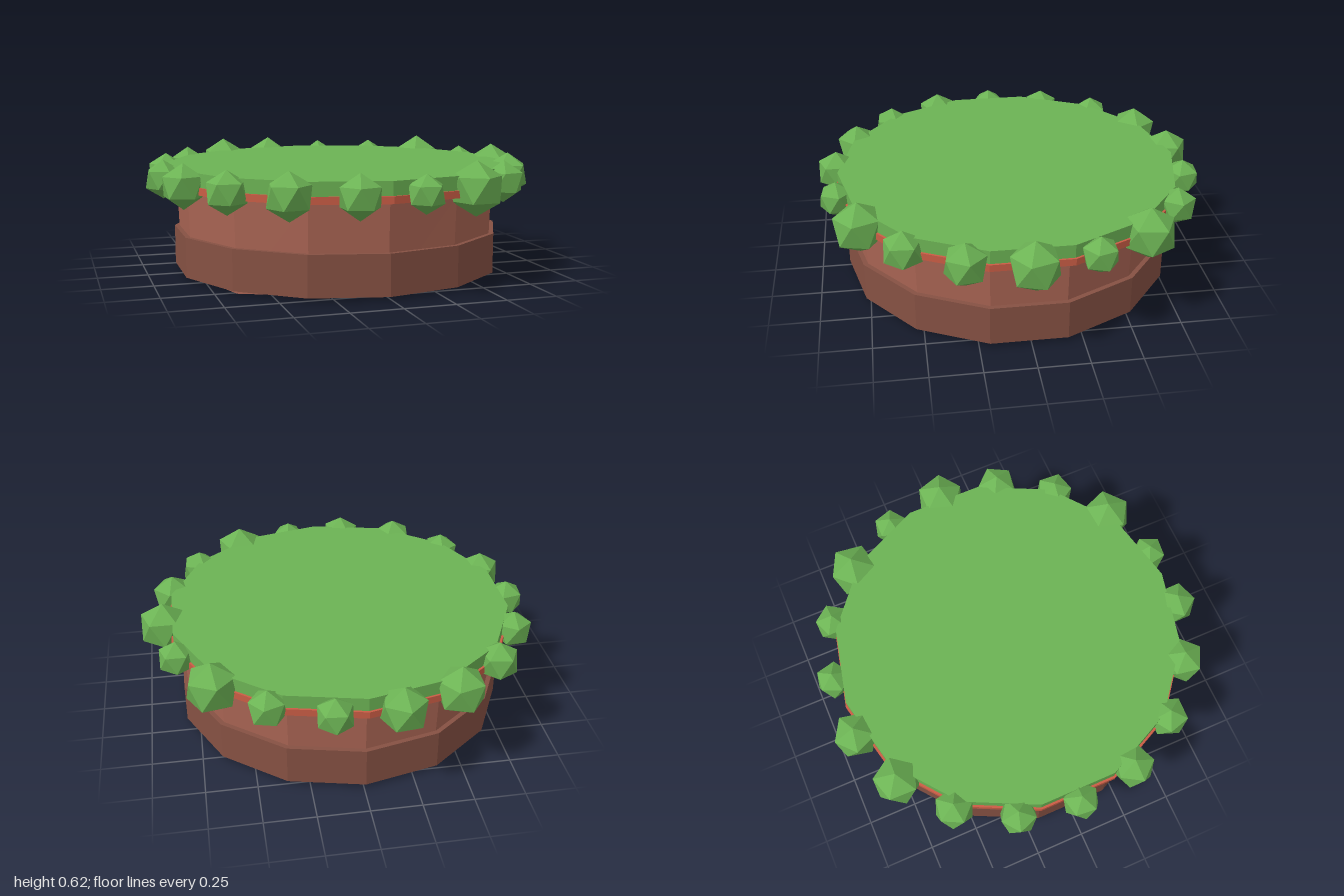
import * as THREE from 'three';

const SIDES = 14;

const material = (name, color) => {
  const m = new THREE.MeshStandardMaterial({ color });
  m.name = name;
  return m;
};

// Split faces so that every facet has its own flat normal
const faceted = (geometry) => {
  const g = geometry.index ? geometry.toNonIndexed() : geometry;
  g.computeVertexNormals();
  return g;
};

export function createModel() {
  const model = new THREE.Group();
  model.name = 'grassPlatform';

  const grass = material('grass green', 0x6cb354);
  const clay = material('clay brown', 0xa96453);
  const darkClay = material('dark clay brown', 0x865143);
  const terracotta = material('terracotta red', 0xca5d45);

  const add = (name, geometry, mat, x = 0, y = 0, z = 0) => {
    const mesh = new THREE.Mesh(faceted(geometry), mat);
    mesh.name = name;
    mesh.position.set(x, y, z);
    model.add(mesh);
    return mesh;
  };

  // Fourteen-sided drum between two heights
  const drum = (rTop, rBottom, y0, y1) =>
    new THREE.CylinderGeometry(rTop, rBottom, y1 - y0, SIDES).translate(0, (y0 + y1) / 2, 0);

  // Wall, whose underside dips at a few corners
  const wall = drum(0.83, 0.815, 0.023, 0.45);
  const dips = { 1: 0.012, 2: 0.012, 3: 0.008, 9: 0.007, 12: 0 };
  const p = wall.attributes.position;
  for (let i = 0; i < p.count; i++) {
    if (p.getY(i) > 0.1 || Math.hypot(p.getX(i), p.getZ(i)) < 0.1) continue;
    const turn = Math.atan2(p.getX(i), p.getZ(i)) / (2 * Math.PI);
    const corner = (Math.round(turn * SIDES) + SIDES) % SIDES;
    if (corner in dips) p.setY(i, dips[corner]);
  }
  add('wall', wall, clay, -0.01, 0, 0.01);

  // Wider band around the foot
  add('baseBand', drum(0.846, 0.846, 0.018, 0.218), darkClay, -0.01, 0, 0.01);

  // Rim and grass slab
  add('rim', drum(0.887, 0.887, 0.448, 0.483), terracotta, -0.01, 0, 0.004);
  add('grassTop', drum(0.876, 0.876, 0.483, 0.55), grass, -0.01, 0, 0.004);

  // Ring of bushes, from +x towards +z, each standing on a corner
  const radii = [0.13, 0.112, 0.104, 0.133, 0.093, 0.108, 0.115, 0.105, 0.112,
    0.098, 0.1, 0.105, 0.128, 0.12, 0.095, 0.098, 0.135, 0.094];
  const cornerUp = -Math.atan((1 + Math.sqrt(5)) / 2);
  radii.forEach((r, i) => {
    const a = (i / radii.length) * Math.PI * 2;
    const bush = new THREE.IcosahedronGeometry(r, 0).rotateX(cornerUp).rotateY(i * 1.7);
    add(`bush${i + 1}`, bush, grass, 0.9 * Math.cos(a) - 0.01, 0.485, 0.9 * Math.sin(a));
  });

  return model;
}
